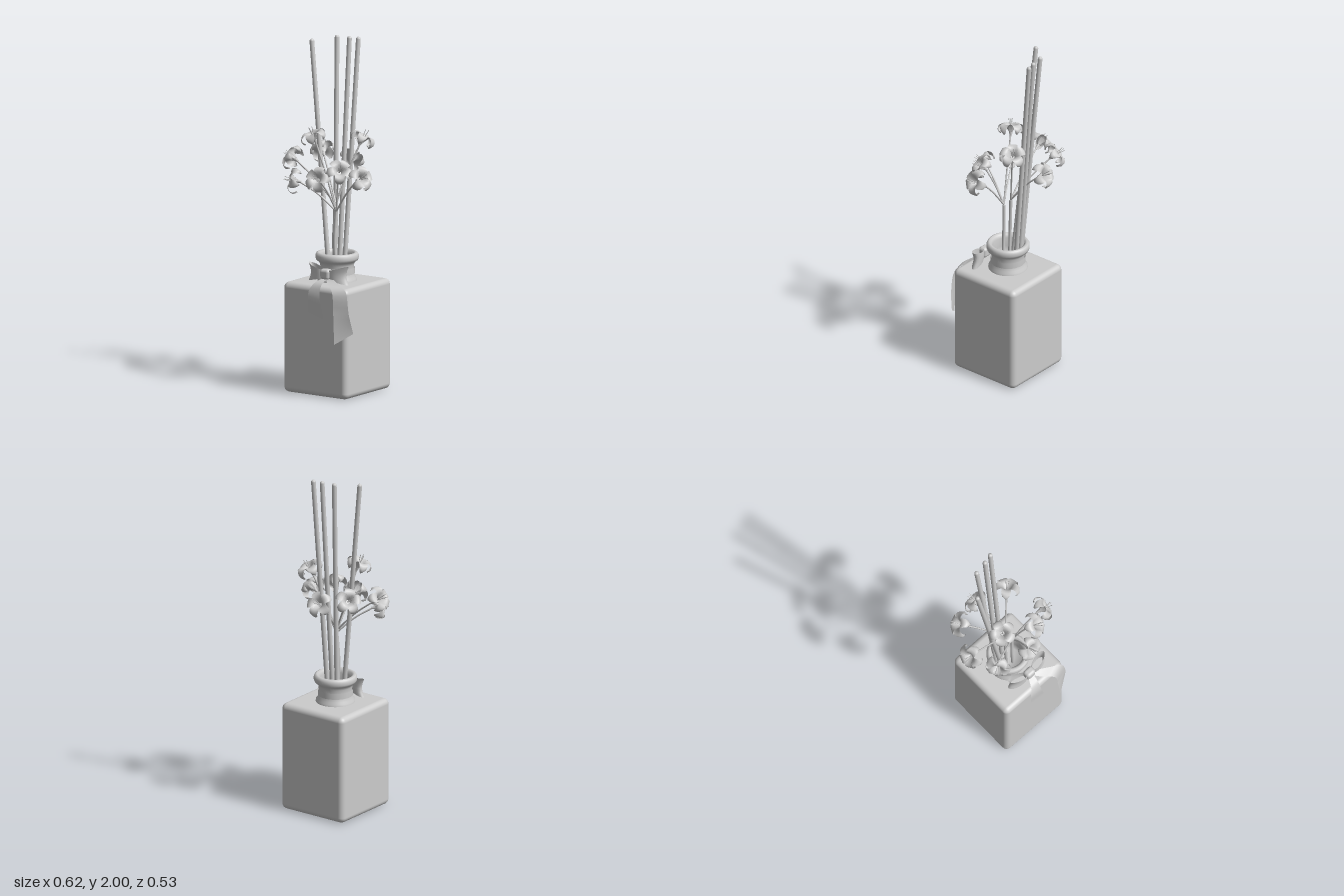
import * as THREE from 'three';
import { RoundedBoxGeometry } from 'three/addons/geometries/RoundedBoxGeometry.js';
import { ParametricGeometry } from 'three/addons/geometries/ParametricGeometry.js';

const solid = new THREE.MeshStandardMaterial({ color: 0xcccccc });
const thin = new THREE.MeshStandardMaterial({ color: 0xcccccc, side: THREE.DoubleSide });
const vec = (p) => new THREE.Vector3(...p);
const UP = new THREE.Vector3(0, 1, 0);

function add(parent, name, geometry, material = solid) {
  const mesh = new THREE.Mesh(geometry, material);
  mesh.name = name;
  parent.add(mesh);
  return mesh;
}

// Cloth strip stretched between two smooth edges
function ribbon(left, right) {
  const a = new THREE.CatmullRomCurve3(left.map(vec));
  const b = new THREE.CatmullRomCurve3(right.map(vec));
  return new ParametricGeometry((u, v, out) => out.lerpVectors(a.getPoint(v), b.getPoint(v), u), 4, 16);
}

// Puffed bow loop, closed around its height axis; side is -1 or 1
function bowLoop(side) {
  return new ParametricGeometry((u, v, out) => {
    const t = u * Math.PI * 2;
    const reach = (1 - Math.cos(t)) / 2;
    const half = 0.024 + 0.028 * reach;
    const bulge = 1 - 0.15 * Math.sin(v * Math.PI);
    out.set(side * (0.02 + 0.115 * reach * bulge), (v - 0.5) * 2 * half, 0.026 * Math.sin(t) - 0.025 * reach);
  }, 20, 4);
}

// Petal that rises from the throat, then curls outward and back
const petalPath = new THREE.CatmullRomCurve3(
  [[0.006, -0.03, 0], [0.016, 0, 0], [0.04, 0.024, 0], [0.066, 0.018, 0], [0.076, -0.008, 0], [0.062, -0.03, 0]].map(vec));
const petalGeometry = new ParametricGeometry((u, v, out) => {
  const p = petalPath.getPoint(v);
  const s = u * 2 - 1;
  const half = 0.004 + 0.024 * Math.pow(Math.sin(Math.PI * Math.pow(v, 0.9)), 0.7);
  out.set(p.x - 0.006 * s * s, p.y + 0.005 * s * s, s * half);
}, 4, 10);

function makeFlower(center, direction, spin) {
  const flower = new THREE.Group();
  flower.name = 'flower';
  for (let i = 0; i < 5; i++) {
    add(flower, 'petal', petalGeometry, thin).rotation.y = spin + (i * Math.PI * 2) / 5;
  }
  add(flower, 'calyx', new THREE.CylinderGeometry(0.012, 0.006, 0.03, 8)).position.y = -0.025;
  // Slender stamens in the throat
  for (let i = 0; i < 3; i++) {
    const a = spin + (i * Math.PI * 2) / 3;
    const tip = [0.012 * Math.cos(a), 0.06, 0.012 * Math.sin(a)];
    add(flower, 'stamen', new THREE.TubeGeometry(new THREE.LineCurve3(vec([0, -0.02, 0]), vec(tip)), 1, 0.002, 5));
  }
  flower.position.copy(center);
  flower.quaternion.setFromUnitVectors(UP, direction);
  return flower;
}

export function createModel() {
  const model = new THREE.Group();
  model.name = 'reedVase';

  // Square bottle
  const body = add(model, 'bottleBody', new RoundedBoxGeometry(0.44, 0.63, 0.445, 4, 0.032));
  body.position.set(0.05, 0.318, 0.013);

  // Hollow neck with a rolled lip
  const profile = [
    [0.112, 0.625], [0.11, 0.645], [0.101, 0.655], [0.093, 0.69], [0.095, 0.725], [0.104, 0.742],
    [0.117, 0.75], [0.122, 0.762], [0.122, 0.778], [0.116, 0.79], [0.105, 0.795], [0.093, 0.788],
    [0.086, 0.77], [0.082, 0.72], [0.082, 0.637], [0, 0.637],
  ].map(([r, y]) => new THREE.Vector2(r, y));
  add(model, 'bottleNeck', new THREE.LatheGeometry(profile, 40), thin).position.set(0.05, 0, 0.013);

  // Reed sticks, foot to top
  const reeds = [
    [[0.0, 0.66, 0.02], [-0.15, 1.97, -0.024]],
    [[0.002, 0.66, -0.035], [-0.055, 1.985, -0.134]],
    [[0.022, 0.66, -0.045], [0.021, 1.985, -0.147]],
    [[0.056, 0.66, -0.045], [0.073, 1.985, -0.16]],
  ];
  for (const [foot, top] of reeds) {
    const a = vec(foot), b = vec(top);
    const stick = add(model, 'reedStick', new THREE.CapsuleGeometry(0.0135, a.distanceTo(b), 3, 12));
    stick.position.lerpVectors(a, b, 0.5);
    stick.quaternion.setFromUnitVectors(UP, b.sub(a).normalize());
  }

  // Two main stems, each ending in a fork
  const forks = [[0.06, 1.03, 0.035], [0.035, 1.06, 0.005]];
  const feet = [[0.065, 0.65, 0.035], [0.04, 0.65, 0.01]];
  forks.forEach((fork, i) => {
    const middle = [feet[i][0] - 0.012, 0.85, feet[i][2] + 0.006];
    const curve = new THREE.CatmullRomCurve3([feet[i], middle, fork].map(vec));
    add(model, 'mainStem', new THREE.TubeGeometry(curve, 12, 0.009, 8));
  });

  // Blossoms on curved branches: position and fork index
  const blossoms = [
    [[-0.245, 1.3, 0.025], 1], [[-0.06, 1.45, 0.085], 0], [[0.145, 1.43, -0.1], 1],
    [[0.255, 1.245, 0.075], 0], [[-0.15, 1.2, 0.145], 0], [[0.045, 1.235, 0.195], 0],
    [[0.0, 1.28, -0.2], 1], [[-0.165, 1.32, -0.15], 1], [[0.145, 1.28, 0.125], 0],
  ];
  const heart = new THREE.Vector3(0.03, 1.15, 0.01);
  blossoms.forEach(([at, f], i) => {
    const center = vec(at);
    const direction = center.clone().sub(heart).normalize();
    model.add(makeFlower(center, direction, i * 1.3));
    const start = vec(forks[f]);
    const end = center.clone().addScaledVector(direction, -0.03);
    const bend = start.clone().lerp(end, 0.5);
    bend.y += 0.015;
    add(model, 'branch', new THREE.TubeGeometry(new THREE.CatmullRomCurve3([start, bend, end]), 12, 0.005, 6));
  });

  // Bow at the front of the neck
  const bow = new THREE.Group();
  bow.name = 'bow';
  bow.position.set(0.078, 0.692, 0.158);
  add(bow, 'knot', new RoundedBoxGeometry(0.064, 0.062, 0.05, 3, 0.018));
  for (const side of [-1, 1]) add(bow, 'bowLoop', bowLoop(side), thin);
  model.add(bow);
  const band = add(model, 'ribbonBand', new THREE.CylinderGeometry(0.099, 0.099, 0.035, 32, 1, true), thin);
  band.position.set(0.05, 0.69, 0.013);

  // Ribbon tails draped over the shoulder
  add(model, 'longTail', ribbon(
    [[0.08, 0.67, 0.165], [0.13, 0.648, 0.215], [0.185, 0.615, 0.252], [0.2, 0.5, 0.262], [0.212, 0.322, 0.27]],
    [[0.11, 0.68, 0.16], [0.19, 0.65, 0.195], [0.26, 0.62, 0.225], [0.285, 0.5, 0.232], [0.303, 0.385, 0.212]]), thin);
  add(model, 'shortTail', ribbon(
    [[0.06, 0.67, 0.17], [0.035, 0.642, 0.22], [0.015, 0.6, 0.24], [0.015, 0.48, 0.24]],
    [[0.095, 0.67, 0.17], [0.09, 0.642, 0.22], [0.09, 0.59, 0.24], [0.115, 0.45, 0.24]]), thin);

  return model;
}
